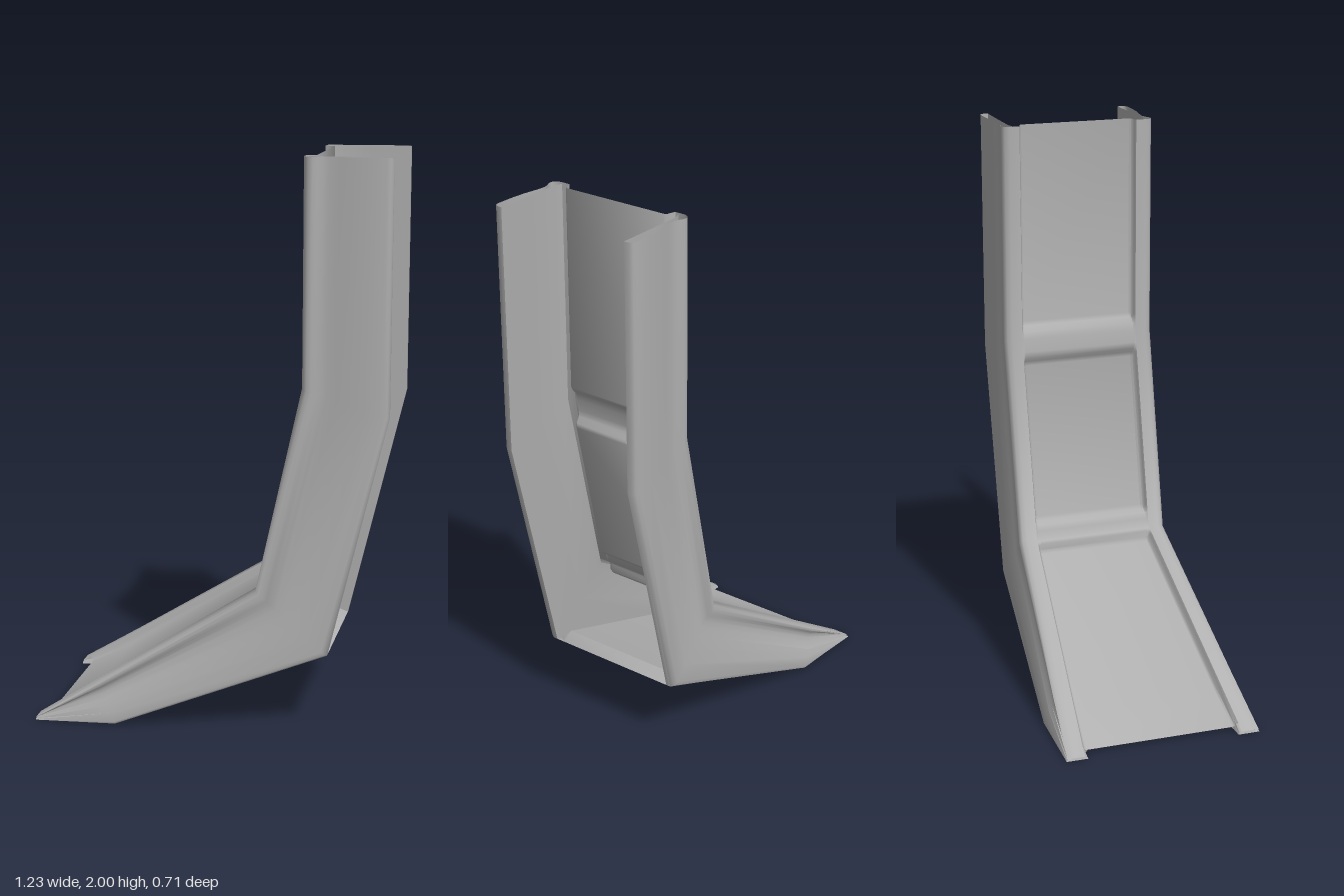
import * as THREE from 'three';
import { toCreasedNormals } from 'three/addons/utils/BufferGeometryUtils.js';

// Surface through rows of [x, y, z] points
function loft(rows, crease) {
  const n = rows[0].length, index = [];
  for (let i = 0; i < rows.length - 1; i++) {
    for (let j = 0; j < n - 1; j++) {
      const a = i * n + j, b = a + n;
      index.push(a, b, a + 1, b, b + 1, a + 1);
    }
  }
  const g = new THREE.BufferGeometry();
  g.setAttribute('position', new THREE.Float32BufferAttribute(rows.flat(2), 3));
  g.setIndex(index);
  return toCreasedNormals(g, crease);
}

// Rail stations: front edge x, y, flare and back edge x, y, flare
const STATIONS = [
  [0.313, 2, 0, 0.613, 2, 0],
  [0.313, 1.22, 0, 0.613, 1.13, 0],
  [0.155, 0.5, 0, 0.41, 0.28, 0],
  [-0.40, 0.149, 0.05, -0.33, 0, 0.065],
  [-0.62, 0.01, 0.07, -0.62, 0, 0.07],
];

// Hollow rail section: position from front (0) to back (1) edge, half width z, share of flare
const SECTION = [
  [0, 0.218, 1], [0, 0.255, 1], [0.02, 0.271, 1], [0.06, 0.28, 1], [0.11, 0.279, 1],
  [0.16, 0.272, 1], [0.22, 0.266, 1], [0.29, 0.266, 1], [0.4, 0.271, 1], [0.54, 0.278, 1],
  [0.72, 0.282, 1], [0.93, 0.283, 1], [0.975, 0.279, 1], [1, 0.267, 0.85],
  [1, 0.25, 0.35], [0.5, 0.25, 0.4], [0.12, 0.248, 0.6], [0.04, 0.24, 0.8],
];

// Internal rib between the two walls of the rail
const RIB = [[0.83, 0.25, 0.35], [0.83, 0.272, 0.9]];

function railRows(side, section, stations) {
  return stations.map(([fx, fy, fw, bx, by, bw]) => {
    const row = section.map(([t, z, share]) => [
      fx + (bx - fx) * t,
      fy + (by - fy) * t,
      side * (z + share * (fw + (bw - fw) * t)),
    ]);
    return side > 0 ? row : row.reverse();
  });
}

// Front panel rows: recessed fields with raised crossbars at the two bends
function panelRows() {
  const R = 0.035;
  const midX = (y) => 0.155 + (y - 0.5) * 0.158 / 0.72;
  const lowY = (x) => 0.5 + (x - 0.155) * 0.632;
  const upper = [1, 0], middle = [0.978, -0.21], lower = [0.535, -0.845];
  const path = [
    [0.313, 2, R, upper], [0.313, 1.28, R, upper], [0.313, 1.265, 0.027, upper],
    [0.313, 1.245, 0.004, upper], [0.313, 1.22, 0, upper],
    ...[[1.175, 0], [1.155, 0.006], [1.14, 0.029], [1.125, R], [0.58, R], [0.565, 0.029],
      [0.55, 0.006], [0.53, 0], [0.5, 0]].map(([y, r]) => [midX(y), y, r, middle]),
    ...[[0.148, 0], [0.14, 0.006], [0.132, 0.029], [0.12, R], [-0.45, R], [-0.59, 0.02]]
      .map(([x, r]) => [x, lowY(x), r, lower]),
  ];
  const edge = [[0.218, 0], [0.214, 0.25], [0.209, 0.85], [0.202, 1]];
  return path.map(([x, y, r, n]) => {
    const w = Math.max(0, (0.155 - x) * 0.0903);
    const point = (z, k) => [x + n[0] * r * k, y + n[1] * r * k, z];
    return [
      ...edge.map(([z, k]) => point(-z - w, k)),
      ...edge.slice().reverse().map(([z, k]) => point(z + w, k)),
    ];
  });
}

// Sole rows: flat rim point x, y, then the offset to the recessed floor and the flare
function soleRows() {
  const stations = [
    [0.41, 0.28, 0, 0, 0],
    [0.384, 0.27, -0.014, 0.037, 0.002],
    [-0.33, 0, -0.006, 0.04, 0.065],
    [-0.58, 0, 0, 0.012, 0.07],
  ];
  return stations.map(([x, y, dx, dy, w]) => {
    const rim = 0.25 + 0.35 * w, floor = 0.215 + 0.7 * w;
    return [
      [x, y, rim], [x + dx, y + dy, floor],
      [x + dx, y + dy, -floor], [x, y, -rim],
    ];
  });
}

export function createModel() {
  const group = new THREE.Group();
  group.name = 'bentChannelSupport';
  const metal = new THREE.MeshStandardMaterial({ color: 0xb0b0b0, side: THREE.DoubleSide });
  metal.name = 'greyMetal';
  const add = (name, rows, crease) => {
    const mesh = new THREE.Mesh(loft(rows, crease), metal);
    mesh.name = name;
    group.add(mesh);
  };

  // Mirrored hollow side rails with a grooved outer face
  for (const [side, label] of [[1, 'frontSide'], [-1, 'rearSide']]) {
    add(label + 'Rail', railRows(side, SECTION, STATIONS), 0.9);
    add(label + 'Rib', railRows(side, RIB, STATIONS.slice(1, 4)), 0.9);
  }

  // Recessed panel between the rails
  add('recessedPanel', panelRows(), 0.9);

  // Recessed sole under the foot
  add('recessedSole', soleRows(), 0.6);

  return group;
}
